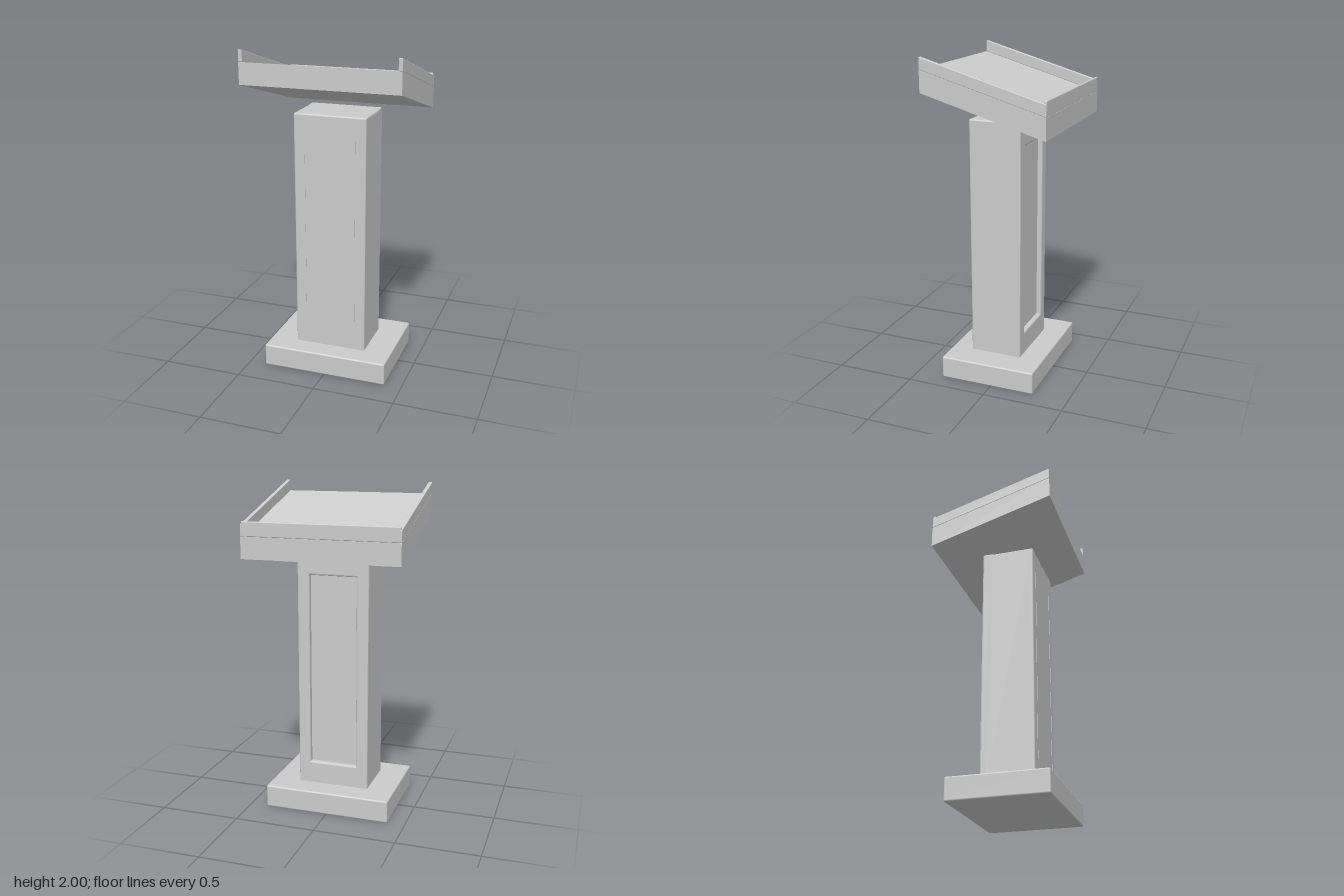
import * as THREE from 'three';
import { RoundedBoxGeometry } from 'three/addons/geometries/RoundedBoxGeometry.js';

const material = new THREE.MeshStandardMaterial({ color: 0xcccccc });
const SLOPE = 0.287; // rise of the reading desk per unit of z

// Softened box given by its minimum and maximum corners
function slab(x0, x1, y0, y1, z0, z1, radius) {
  const g = new RoundedBoxGeometry(x1 - x0, y1 - y0, z1 - z0, 2, radius);
  return g.translate((x0 + x1) / 2, (y0 + y1) / 2, (z0 + z1) / 2);
}

// Tilts a geometry while keeping its front and back faces vertical
function tilt(geometry) {
  const shear = new THREE.Matrix4().set(1, 0, 0, 0, 0, 1, SLOPE, 0, 0, 0, 1, 0, 0, 0, 0, 1);
  return geometry.applyMatrix4(shear);
}

function rectangle(path, x0, x1, y0, y1) {
  return path.moveTo(x0, y0).lineTo(x1, y0).lineTo(x1, y1).lineTo(x0, y1).closePath();
}

export function createModel() {
  const model = new THREE.Group();
  model.name = 'lectern';
  const add = (name, geometry, parent = model) => {
    const mesh = new THREE.Mesh(geometry, material);
    mesh.name = name;
    parent.add(mesh);
  };

  // Foot
  add('base', slab(-0.393, 0.393, 0, 0.14, -0.275, 0.325, 0.01));

  // Column: solid core plus a framed recess on the back
  const column = new THREE.Group();
  column.name = 'column';
  model.add(column);
  add('columnCore', slab(-0.224, 0.224, 0.13, 1.62, -0.1, 0.195, 0.01), column);

  const bevel = 0.01;
  const outline = rectangle(new THREE.Shape(), -0.224, 0.224, 0.13, 1.62);
  outline.holes.push(rectangle(new THREE.Path(), -0.148, 0.148, 0.28, 1.47));
  const frame = new THREE.ExtrudeGeometry(outline, {
    depth: 0.05, bevelEnabled: true, bevelSize: bevel, bevelThickness: bevel,
    bevelOffset: -bevel, bevelSegments: 2,
  });
  add('backPanelFrame', frame.translate(0, 0, -0.13 + bevel), column);

  // Fine vertical lines on the front of the column
  for (const side of [-1, 1]) {
    const line = new THREE.BoxGeometry(0.004, 1.21, 0.004);
    add(side > 0 ? 'leftFrontLine' : 'rightFrontLine', line.translate(side * 0.157, 0.875, 0.195), column);
  }

  // Sloping reading desk with a rail on three sides
  const desk = new THREE.Group();
  desk.name = 'desk';
  model.add(desk);
  const board = new THREE.BoxGeometry(0.956, 0.13, 0.75).translate(0, 1.7575, 0);
  add('deskBoard', tilt(board), desk);
  for (const side of [-1, 1]) {
    const rail = slab(-0.012, 0.012, 1.8225, 1.8925, -0.375, 0.375, 0.004).translate(side * 0.467, 0, 0);
    add(side > 0 ? 'leftRail' : 'rightRail', tilt(rail), desk);
  }
  add('backRail', slab(-0.472, 0.472, 1.715, 1.803, -0.377, -0.36, 0.006), desk);

  return model;
}
